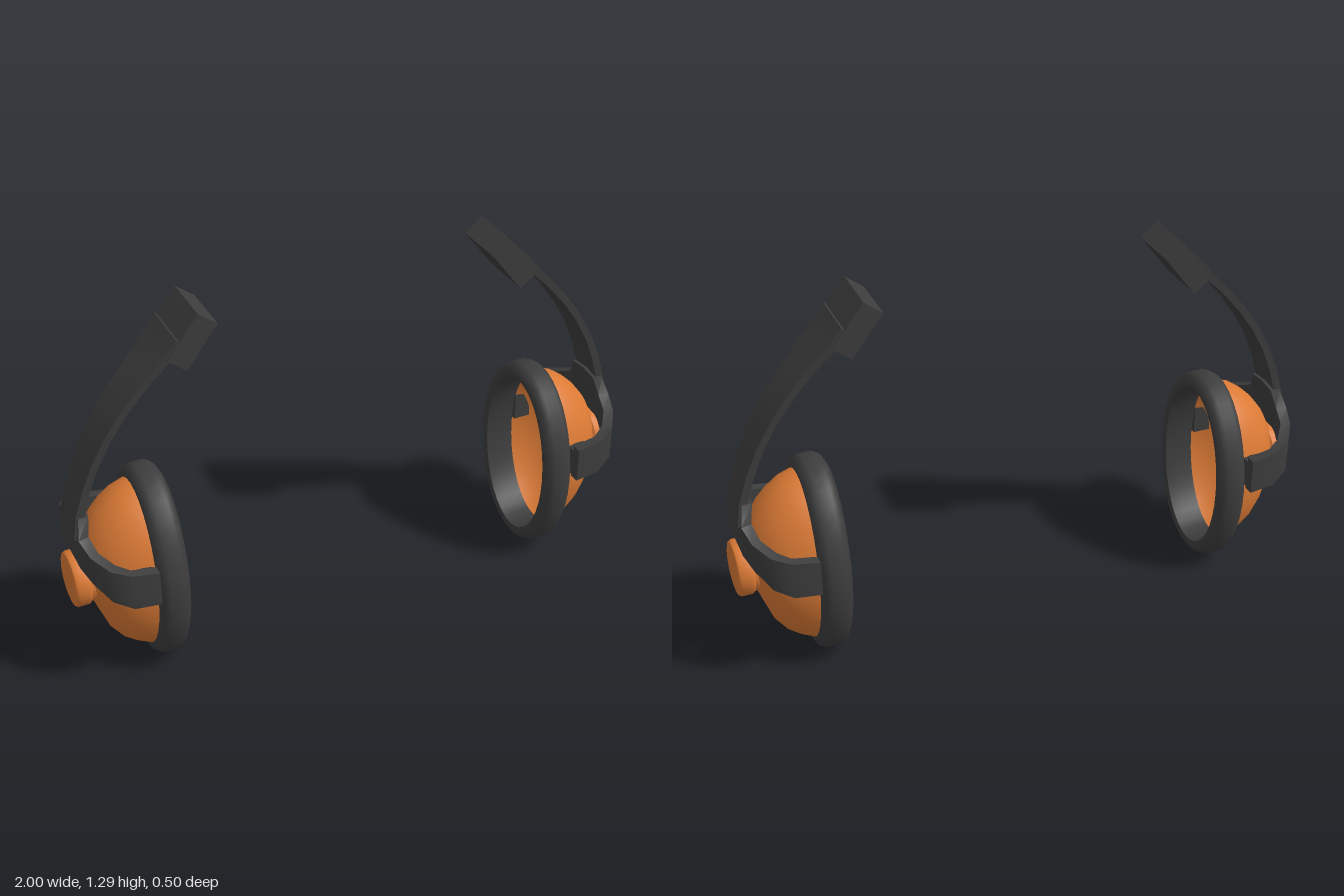
import * as THREE from 'three';
import { toCreasedNormals } from 'three/addons/utils/BufferGeometryUtils.js';

// Skin between cross-sections (arrays of [x, y, z]); loop joins the last to the first
function loft(sections, { loop = false, capStart = false, capEnd = false, crease = 0.7 } = {}) {
  const n = sections[0].length, m = sections.length, index = [];
  for (let i = 0; i < (loop ? m : m - 1); i++) {
    for (let j = 0; j < n; j++) {
      const k = (j + 1) % n, p = i * n, q = ((i + 1) % m) * n;
      index.push(p + j, p + k, q + k, p + j, q + k, q + j);
    }
  }
  for (let j = 1; j < n - 1; j++) {
    const e = (m - 1) * n;
    if (capStart) index.push(0, j + 1, j);
    if (capEnd) index.push(e, e + j, e + j + 1);
  }
  const g = new THREE.BufferGeometry();
  g.setAttribute('position', new THREE.Float32BufferAttribute(sections.flat(2), 3));
  g.setIndex(index);
  return toCreasedNormals(g, crease);
}

// Oval in the y-z plane
function oval(x, low, high, halfZ, n = 32) {
  return Array.from({ length: n }, (_, i) => {
    const t = (i / n) * Math.PI * 2;
    return [x, (low + high) / 2 + Math.cos(t) * (high - low) / 2, Math.sin(t) * halfZ];
  });
}

export function createModel() {
  const dark = new THREE.MeshStandardMaterial({ color: 0x3d3d3d });
  const orange = new THREE.MeshStandardMaterial({ color: 0xdb7a35 });
  const shell = new THREE.MeshStandardMaterial({ color: 0xdb7a35, side: THREE.DoubleSide });
  shell.name = 'orange shell';
  dark.name = 'dark grey';
  orange.name = 'orange';

  // Cushion: rounded profile [x, inset] swept round an oval
  const profile = [[0.665, 0.05], [0.7, 0.055], [0.765, 0.055], [0.765, 0.035], [0.755, 0.012],
    [0.735, 0], [0.69, 0], [0.672, 0.01], [0.66, 0.03]];
  const rings = profile.map(([x, d]) => oval(x, d, 0.715 - d, 0.242 - d, 36));
  const cushion = loft(rings[0].map((_, i) => rings.map(r => r[i])), { loop: true, crease: 0.9 });

  // Hollow ear cup: [x, low, high, half depth]
  const cup = loft([
    [0.72, 0.04, 0.68, 0.205], [0.765, 0.045, 0.675, 0.2], [0.81, 0.068, 0.66, 0.188],
    [0.85, 0.098, 0.632, 0.172], [0.885, 0.145, 0.598, 0.15], [0.917, 0.23, 0.555, 0.115],
    [0.945, 0.31, 0.5, 0.07],
  ].map(s => oval(...s)), { capEnd: true });

  // Round knob with a bevelled rim
  const knob = loft([
    [0.92, 0.09], [0.945, 0.09], [0.953, 0.098], [0.988, 0.098], [0.997, 0.092], [1, 0.08],
  ].map(([x, r]) => oval(x, 0.363 - r, 0.363 + r, r * 0.92, 24)), { capEnd: true });

  // Yoke half: [outer x, outer z, inner x, inner z, bottom, top, lean of top edge]
  const half = [
    [0.77, 0.25, 0.77, 0.215, 0.365, 0.49, 0],
    [0.86, 0.247, 0.853, 0.215, 0.375, 0.505, 0],
    [0.92, 0.222, 0.895, 0.195, 0.405, 0.525, 0],
    [0.962, 0.16, 0.932, 0.145, 0.448, 0.55, 0],
    [0.982, 0.1, 0.947, 0.09, 0.475, 0.58, -0.004],
    [0.984, 0.068, 0.95, 0.066, 0.484, 0.64, -0.02],
    [0.985, 0, 0.95, 0, 0.488, 0.65, -0.022],
  ];
  const yokeSection = s => ([ox, oz, ix, iz, b, t, lean]) => [
    [ox, b, s * oz], [ox + lean, t, s * oz], [ix + lean, t, s * iz], [ix, b, s * iz]];
  const yoke = loft([
    ...half.map(yokeSection(-1)), ...half.slice(0, -1).reverse().map(yokeSection(1)),
  ], { capStart: true, capEnd: true });

  // Headband arm: [x, y, half width, half thickness], thickness across the path
  const path = [
    [0.968, 0.56, 0.068, 0.015], [0.957, 0.64, 0.064, 0.014], [0.93, 0.73, 0.066, 0.013],
    [0.893, 0.82, 0.068, 0.012], [0.843, 0.91, 0.071, 0.012], [0.783, 0.995, 0.075, 0.012],
    [0.71, 1.08, 0.08, 0.012], [0.645, 1.148, 0.09, 0.014], [0.6, 1.2, 0.095, 0.018],
  ];
  const band = loft(path.map(([x, y, w, t], i) => {
    const a = path[Math.max(i - 1, 0)], b = path[Math.min(i + 1, path.length - 1)];
    const dx = b[0] - a[0], dy = b[1] - a[1], l = Math.hypot(dx, dy);
    const nx = dy / l * t, ny = -dx / l * t;
    return [[x + nx, y + ny, w], [x + nx, y + ny, -w], [x - nx, y - ny, -w], [x - nx, y - ny, w]];
  }), { capStart: true, capEnd: true });

  const endBlock = new THREE.BoxGeometry(0.078, 0.175, 0.194);
  endBlock.rotateZ(0.655);
  endBlock.translate(0.563, 1.193, 0);
  const bracket = new THREE.BoxGeometry(0.062, 0.1, 0.055);

  const model = new THREE.Group();
  model.name = 'earDefenders';
  for (const side of ['left', 'right']) {
    const g = new THREE.Group();
    g.name = side + 'EarPiece';
    const add = (name, geometry, material) => {
      const mesh = new THREE.Mesh(geometry, material);
      mesh.name = name;
      g.add(mesh);
      return mesh;
    };
    add('cushion', cushion, dark);
    add('earCup', cup, shell);
    add('knob', knob, orange);
    add('yoke', yoke, dark);
    add('headbandArm', band, dark);
    add('headbandEnd', endBlock, dark);
    // Pivots that join the yoke to the cup
    for (const s of [-1, 1]) add('pivot', bracket, dark).position.set(0.802, 0.42, s * 0.205);
    if (side === 'right') g.rotation.y = Math.PI;
    model.add(g);
  }
  return model;
}
